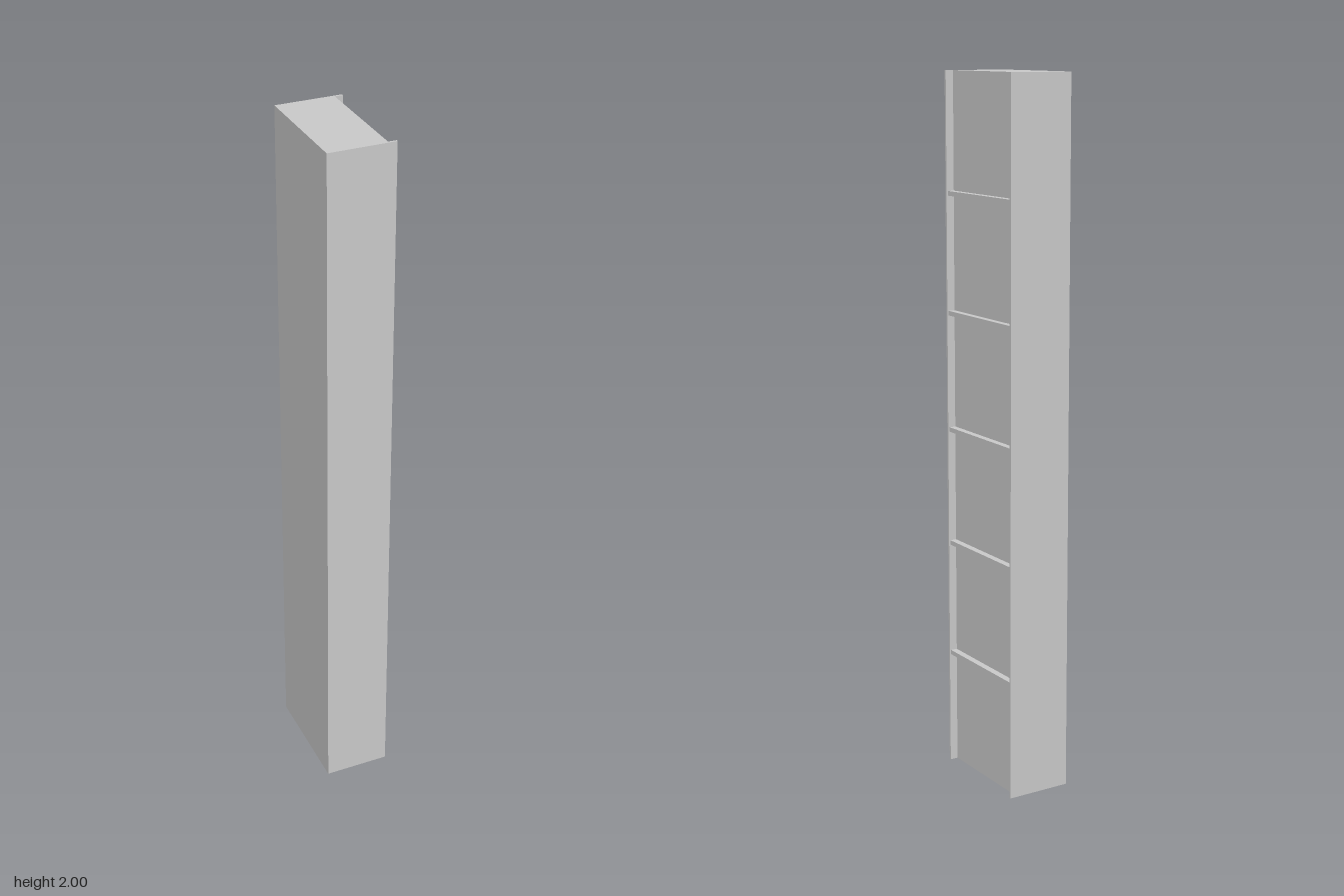
import * as THREE from 'three';

const HEIGHT = 2;
const HALF_X = 0.094;   // overall half width
const HALF_Z = 0.167;   // overall half depth
const WALL = 0.006;     // side panel thickness
const FACE_X = 0.071;   // recessed panel face
const RAIL_X = 0.09;    // outer face of the rails
const BAYS = 6;

export function createModel() {
  const group = new THREE.Group();
  const material = new THREE.MeshStandardMaterial({ color: 0xcccccc, flatShading: true });

  // Box given by its lower and upper corners
  const addBox = (name, [x0, y0, z0], [x1, y1, z1]) => {
    const mesh = new THREE.Mesh(new THREE.BoxGeometry(x1 - x0, y1 - y0, z1 - z0), material);
    mesh.name = name;
    mesh.position.set((x0 + x1) / 2, (y0 + y1) / 2, (z0 + z1) / 2);
    group.add(mesh);
  };

  // Solid body, recessed on the +x side
  const inner = HALF_Z - WALL;
  addBox('body', [-HALF_X, 0, -inner], [FACE_X, HEIGHT, inner]);

  // Full-height side panels that project past the recessed face
  addBox('frontSidePanel', [-HALF_X, 0, inner], [HALF_X, HEIGHT, HALF_Z]);
  addBox('backSidePanel', [-HALF_X, 0, -HALF_Z], [HALF_X, HEIGHT, -inner]);

  // Thin horizontal rails dividing the face into equal bays
  const railHalf = 0.0065;
  for (let i = 1; i < BAYS; i++) {
    const y = (HEIGHT * i) / BAYS + 0.001;
    addBox(`rail${i}`, [FACE_X, y - railHalf, -inner], [RAIL_X, y + railHalf, inner]);
  }

  return group;
}
